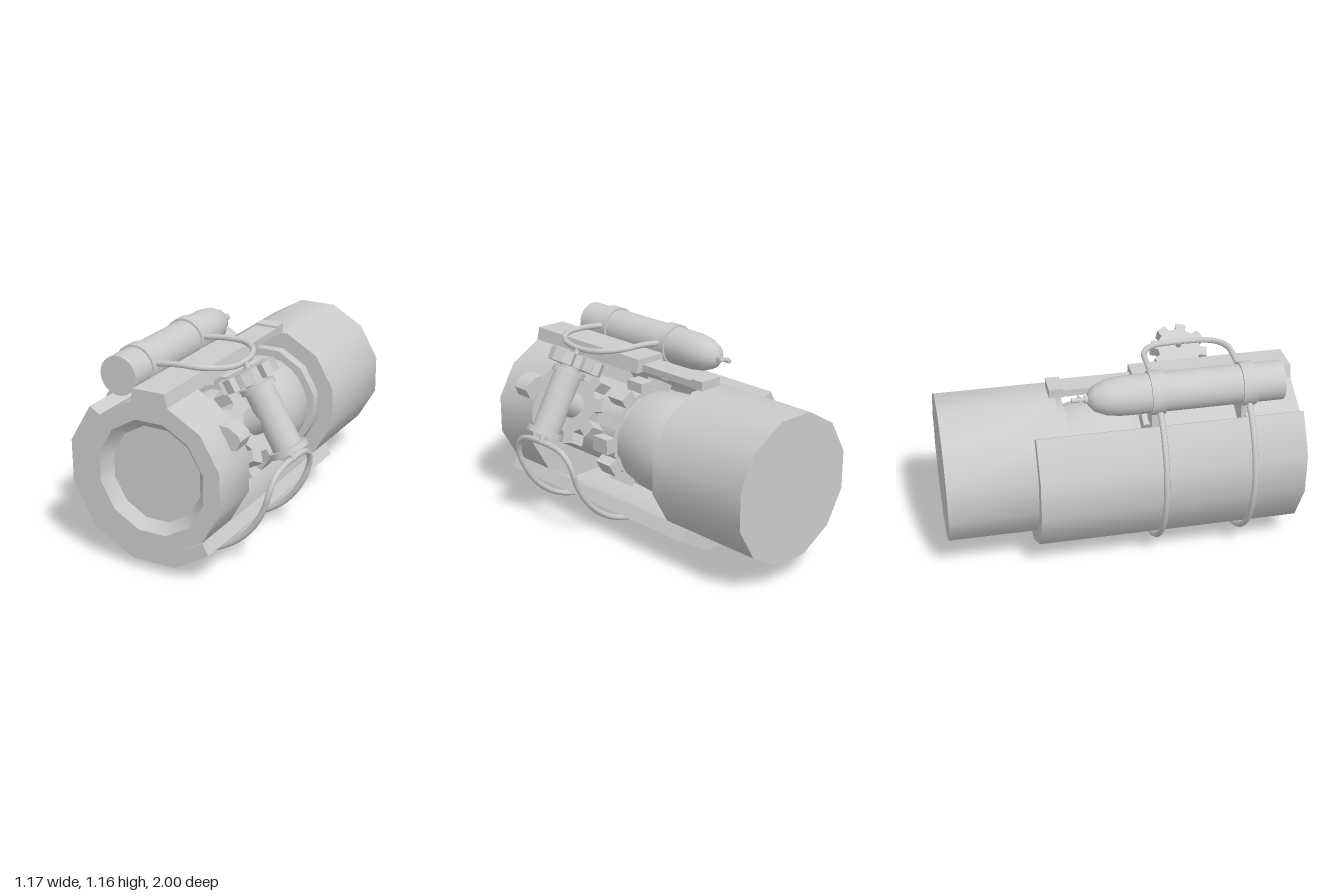
import * as THREE from 'three';
import { toCreasedNormals } from 'three/addons/utils/BufferGeometryUtils.js';

const CX = -0.035, CY = 0.548; // main axis of the machine, along z
const V = (x, y, z) => new THREE.Vector3(x, y, z);

export function createModel() {
  const root = new THREE.Group();
  const mat = new THREE.MeshStandardMaterial({ color: 0xcccccc, side: THREE.DoubleSide });

  const add = (name, geo, x = 0, y = 0, z = 0) => {
    const m = new THREE.Mesh(geo, mat);
    m.name = name;
    m.position.set(x, y, z);
    root.add(m);
    return m;
  };
  const box = (name, w, h, d, x, y, z) => add(name, new THREE.BoxGeometry(w, h, d), x, y, z);

  // Revolved part along z; profile is [radius, z], flats facing x and y for 12 sides
  const turned = (name, profile, sides, x, y, crease = 0.65) => {
    const g = new THREE.LatheGeometry(profile.map(p => new THREE.Vector2(...p)), sides, Math.PI / sides);
    g.rotateX(Math.PI / 2);
    return add(name, toCreasedNormals(g, crease), x, y, 0);
  };
  // Cylinder between two points
  const rod = (name, a, b, r, sides = 16) => {
    const m = add(name, new THREE.CylinderGeometry(r, r, a.distanceTo(b), sides));
    m.position.copy(a).lerp(b, 0.5);
    m.quaternion.setFromUnitVectors(V(0, 1, 0), b.clone().sub(a).normalize());
    return m;
  };
  // Outline extruded along z from z0 to z1
  const slab = (name, pts, z0, z1) => {
    const s = new THREE.Shape(pts.map(p => new THREE.Vector2(...p)));
    const g = new THREE.ExtrudeGeometry(s, { depth: z1 - z0, bevelEnabled: false });
    return add(name, toCreasedNormals(g, 0.65), 0, 0, z0);
  };
  const pipe = (name, pts) => add(name, new THREE.TubeGeometry(
    new THREE.CatmullRomCurve3(pts, false, 'centripetal'), 110, 0.017, 8));
  // Toothed wheel centred on a point, facing along an axis
  const gear = (name, teeth, rOut, rIn, thick, centre, axis) => {
    const pts = [], step = Math.PI * 2 / teeth;
    for (let i = 0; i < teeth; i++)
      for (const [f, r] of [[-0.3, rIn], [-0.22, rOut], [0.22, rOut], [0.3, rIn]])
        pts.push(new THREE.Vector2(Math.cos((i + f) * step) * r, Math.sin((i + f) * step) * r));
    const g = new THREE.ExtrudeGeometry(new THREE.Shape(pts), { depth: thick, bevelEnabled: false });
    g.translate(0, 0, -thick / 2);
    const m = add(name, g);
    m.position.copy(centre);
    m.quaternion.setFromUnitVectors(V(0, 0, 1), axis);
  };

  // Main body
  turned('rearBarrel', [[0, -1], [0.427, -1], [0.427, -0.35], [0, -0.35]], 12, CX, CY);
  turned('frontCollar', [[0, 0.69], [0.427, 0.69], [0.427, 1], [0.326, 1], [0.272, 0.94], [0, 0.94]], 12, CX, CY);
  turned('rearFlange', [[0, -0.36], [0.328, -0.36], [0.328, -0.29], [0, -0.29]], 12, CX, CY);
  turned('bulgedCore', [[0, -0.295], [0.275, -0.295], [0.295, -0.21], [0.302, -0.12], [0.295, -0.01],
    [0.275, 0.075], [0, 0.075]], 24, CX, CY);
  turned('innerShaft', [[0, 0.05], [0.245, 0.05], [0.245, 0.7], [0, 0.7]], 12, CX, CY);
  turned('toothedRing', [[0, 0.13], [0.27, 0.13], [0.27, 0.25], [0, 0.25]], 12, CX, CY);
  for (let i = 0; i < 12; i++) {
    const a = i * Math.PI / 6;
    box('ringTooth', 0.07, 0.09, 0.12, CX + Math.cos(a) * 0.285, CY + Math.sin(a) * 0.285, 0.19).rotation.z = a;
  }

  // Thick outer shell wrapping the right side and bottom
  slab('outerShell', [[-0.40, 0.885], [-0.526, 0.672], [-0.526, 0.433], [-0.396, 0.189], [-0.158, 0.056],
    [0.096, 0.056], [0.307, 0.18], [0.27, 0.243], [0.075, 0.136], [-0.145, 0.136], [-0.337, 0.246],
    [-0.447, 0.438], [-0.447, 0.658], [-0.337, 0.848]], -0.5, 1);

  // Top rail
  slab('topRail', [[-0.145, 0.955], [0.077, 0.955], [0.059, 1.034], [-0.127, 1.034]], 0.1, 1);
  box('railExtension', 0.135, 0.04, 0.48, -0.037, 0.98, -0.14);
  box('railEnd', 0.14, 0.055, 0.08, -0.037, 0.985, -0.34);

  // Gas tank with bands, clamps and nozzle
  const TX = -0.288, TY = 1.037;
  turned('tank', [[0, -0.2], [0.035, -0.195], [0.07, -0.165], [0.097, -0.1], [0.108, -0.03], [0.11, 0.04],
    [0.11, 0.89], [0, 0.89]], 20, TX, TY);
  for (const z of [0.18, 0.69]) {
    turned('tankBand', [[0.108, z - 0.04], [0.122, z - 0.04], [0.122, z + 0.04], [0.108, z + 0.04]], 20, TX, TY);
    box('tankClamp', 0.1, 0.12, 0.05, TX + 0.02, 0.89, z);
  }
  rod('nozzle', V(TX, TY, -0.18), V(TX, TY, -0.285), 0.013, 8);
  rod('nozzleCollar', V(TX, TY, -0.18), V(TX, TY, -0.215), 0.022, 8);
  rod('nozzleHandle', V(TX - 0.035, TY, -0.24), V(TX + 0.035, TY, -0.24), 0.009, 8);

  // Slanted valve with handwheel on the left side
  const VZ = 0.44;
  const down = V(0.5, -0.866, 0).normalize(), out = V(0.866, 0.5, 0).normalize();
  const top = V(0.297, 0.935, VZ);
  const at = d => top.clone().addScaledVector(down, d);
  rod('valveNeck', at(-0.1), at(0), 0.06, 12);
  rod('valveTopFlange', at(-0.015), at(0.018), 0.1, 12);
  rod('valveBody', at(0), at(0.38), 0.083, 20);
  rod('valveBottomFlange', at(0.36), at(0.393), 0.112, 12);
  rod('valveOutlet', at(0.39), at(0.44), 0.018, 8);
  gear('handwheel', 8, 0.165, 0.125, 0.075, V(0.243, 0.985, VZ), down);

  // Drive gear behind the valve
  gear('driveGear', 8, 0.23, 0.165, 0.09, V(CX + out.x * 0.3, CY + out.y * 0.3, VZ), out);
  const hub = r => V(CX + out.x * r, CY + out.y * r, VZ);
  rod('driveHub', hub(0.15), hub(0.44), 0.075, 12);

  // Small knob on the front collar
  slab('collarKnob', [[0.27, 0.84], [0.325, 0.84], [0.385, 0.805], [0.40, 0.775], [0.375, 0.72], [0.325, 0.712],
    [0.28, 0.73]], 0.71, 0.82);

  // Looped pipe under the body, from both tank bands to the valve outlet
  const ring = (deg, z) => {
    const a = deg * Math.PI / 180;
    return V(-0.028 + Math.cos(a) * 0.533, 0.55 + Math.sin(a) * 0.533, z);
  };
  const lower = [];
  for (let d = 122; d <= 347; d += 9) lower.push(ring(d, 0.69));
  lower.push(ring(354, 0.665), ring(358.5, 0.61), ring(360, 0.54));
  const mirrorZ = pts => pts.concat(pts.slice().reverse().map(p => V(p.x, p.y, 0.88 - p.z)));
  pipe('lowerPipe', mirrorZ(lower));

  // Looped pipe over the top, ending at the handwheel
  pipe('upperPipe', mirrorZ([V(-0.2, 1.06, 0.69), V(-0.1, 1.073, 0.69), V(-0.02, 1.08, 0.69), V(0.07, 1.08, 0.685),
    V(0.14, 1.077, 0.65), V(0.19, 1.069, 0.59), V(0.213, 1.062, 0.51)]));
  rod('upperPipeLink', V(0.215, 1.065, VZ), V(0.26, 0.99, VZ), 0.018, 8);

  return root;
}
